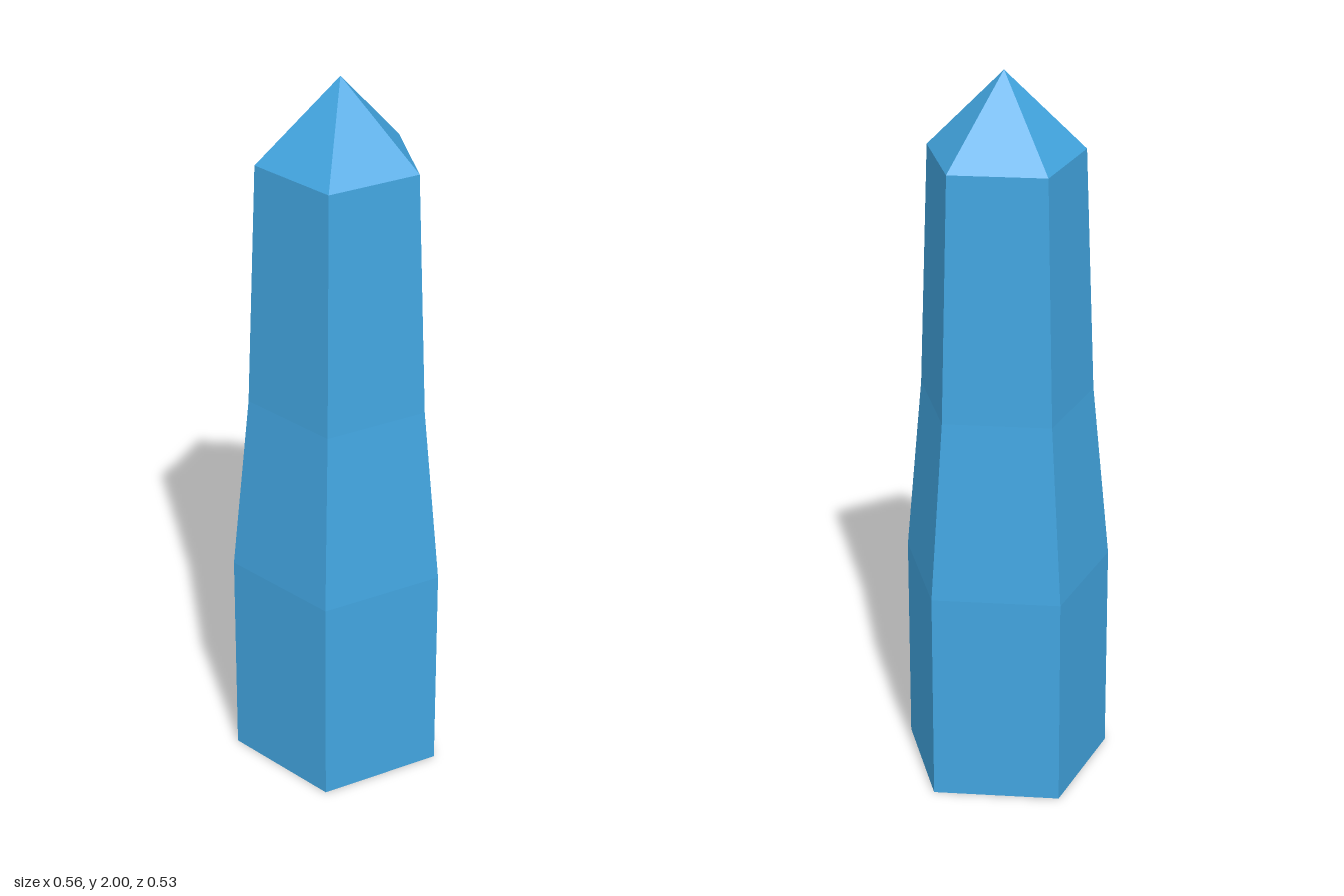
import * as THREE from 'three';

// Five-sided crystal: straight base, two tapering tiers and a pointed tip
export function createModel() {
  const group = new THREE.Group();
  group.name = 'crystal';

  const material = new THREE.MeshStandardMaterial({ color: 0x42a5e0 });
  material.flatShading = true;

  // Profile as [radius, height], from the closed underside to the apex
  const profile = [
    [0, 0],
    [0.2935, 0],
    [0.2935, 0.6],
    [0.245, 1.1],
    [0.219, 1.775],
    [0, 2],
  ].map(([r, y]) => new THREE.Vector2(r, y));

  // One edge points to the back, one flat face to the front
  const shaft = new THREE.Mesh(new THREE.LatheGeometry(profile, 5, Math.PI), material);
  shaft.name = 'crystalShaft';
  shaft.position.z = 0.028; // centres the pentagon's bounds on z = 0
  group.add(shaft);

  return group;
}
